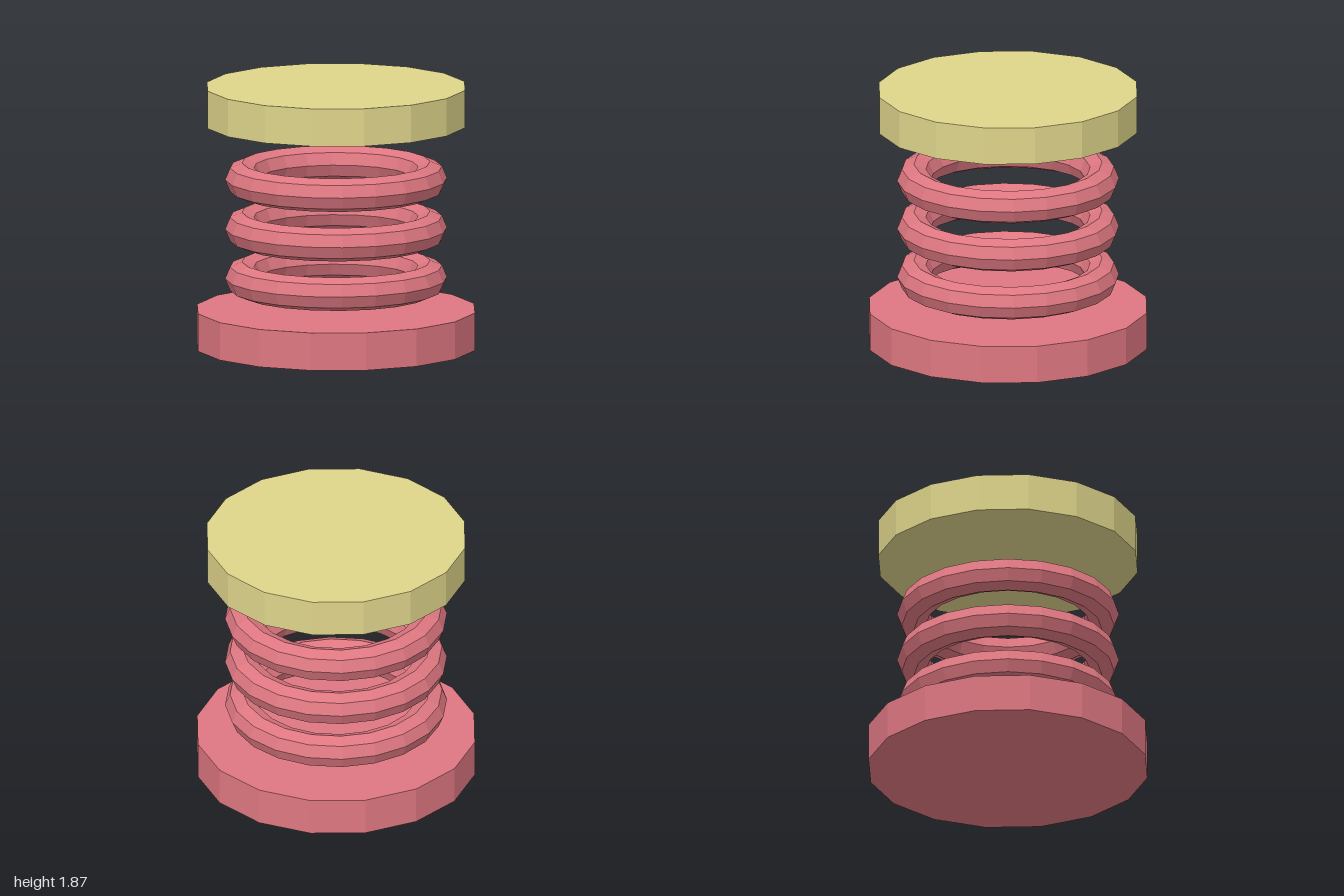
import * as THREE from 'three';

export function createModel() {
  const model = new THREE.Group();
  model.name = 'springPad';

  const coral = new THREE.MeshStandardMaterial({ color: 0xde7781, flatShading: true });
  coral.name = 'coral';
  const paleYellow = new THREE.MeshStandardMaterial({ color: 0xded48a, flatShading: true });
  paleYellow.name = 'paleYellow';

  const add = (name, geometry, material, y) => {
    const mesh = new THREE.Mesh(geometry, material);
    mesh.name = name;
    mesh.position.y = y;
    model.add(mesh);
  };

  // Sixteen-sided base and pad discs
  const thickness = 0.27;
  add('base', new THREE.CylinderGeometry(1, 1, thickness, 16), coral, thickness / 2);
  add('topPad', new THREE.CylinderGeometry(0.93, 0.93, thickness, 16), paleYellow, 1.735);

  // Three separate spring rings
  const ring = new THREE.TorusGeometry(0.667, 0.12, 8, 20).rotateX(Math.PI / 2);
  for (let i = 0; i < 3; i++) add(`springRing${i + 1}`, ring, coral, 0.492 + i * 0.356);

  return model;
}
